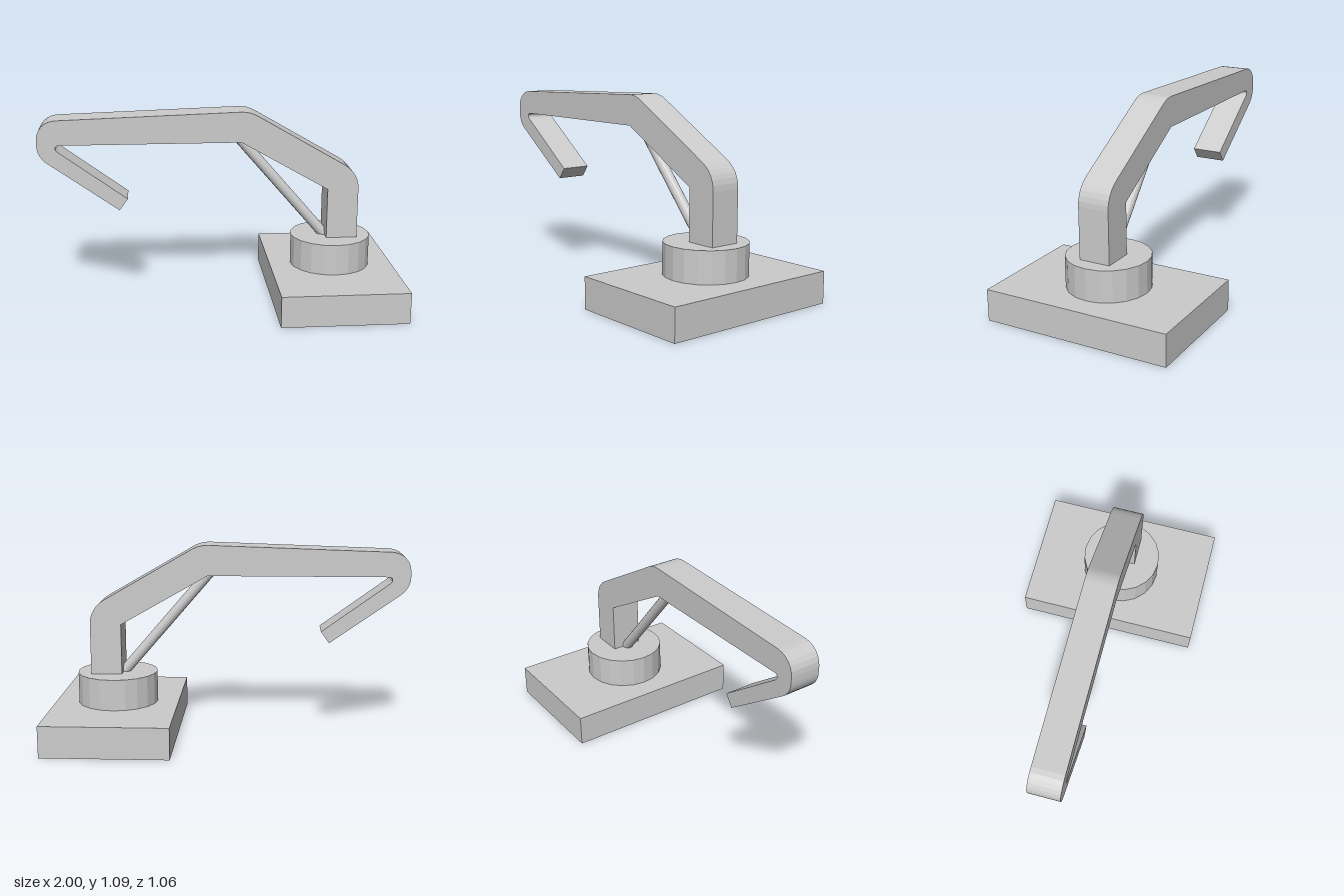
import * as THREE from 'three';

const material = new THREE.MeshStandardMaterial({ color: 0xcccccc, flatShading: true });

function addPart(group, name, geometry, x = 0, y = 0, z = 0) {
  const mesh = new THREE.Mesh(geometry, material);
  mesh.name = name;
  mesh.position.set(x, y, z);
  group.add(mesh);
  return mesh;
}

// Bent arm outline in the x-y plane, with rounded outer bends
function armShape() {
  const s = new THREE.Shape();
  s.moveTo(0.61, 0.35);
  s.lineTo(0.785, 0.35);
  s.lineTo(0.785, 0.64);
  s.bezierCurveTo(0.785, 0.7, 0.755, 0.75, 0.7, 0.782);
  s.lineTo(0.208, 1.067);
  s.quadraticCurveTo(0.165, 1.092, 0.11, 1.09);
  s.lineTo(-0.895, 1.058);
  s.bezierCurveTo(-0.955, 1.055, -1, 1.01, -1, 0.95);
  s.lineTo(-1, 0.92);
  s.quadraticCurveTo(-1, 0.855, -0.94, 0.815);
  s.lineTo(-0.56, 0.545);
  s.lineTo(-0.513, 0.61);
  s.lineTo(-0.89, 0.885);
  s.bezierCurveTo(-0.908, 0.9, -0.9, 0.92, -0.88, 0.92);
  s.lineTo(0.12, 0.92);
  s.lineTo(0.61, 0.64);
  s.closePath();
  return s;
}

export function createModel() {
  const group = new THREE.Group();
  group.name = 'cranedArm';

  // Base slab and turntable
  addPart(group, 'base', new THREE.BoxGeometry(0.705, 0.177, 1.056), 0.6475, 0.0885);
  addPart(group, 'turntable', new THREE.CylinderGeometry(0.228, 0.228, 0.176, 20), 0.645, 0.265);

  // Arm with folded tip
  const depth = 0.176;
  addPart(group, 'arm',
    new THREE.ExtrudeGeometry(armShape(), { depth, bevelEnabled: false, curveSegments: 6 }),
    0, 0, -depth / 2);

  // Diagonal strut between the turntable and the arm's bend
  const top = new THREE.Vector3(0.09, 0.955, 0);
  const foot = new THREE.Vector3(0.61, 0.35, 0);
  const axis = top.clone().sub(foot);
  const strut = addPart(group, 'strut', new THREE.CylinderGeometry(0.03, 0.03, axis.length(), 16));
  strut.position.copy(top).add(foot).multiplyScalar(0.5);
  strut.quaternion.setFromUnitVectors(new THREE.Vector3(0, 1, 0), axis.normalize());

  return group;
}
